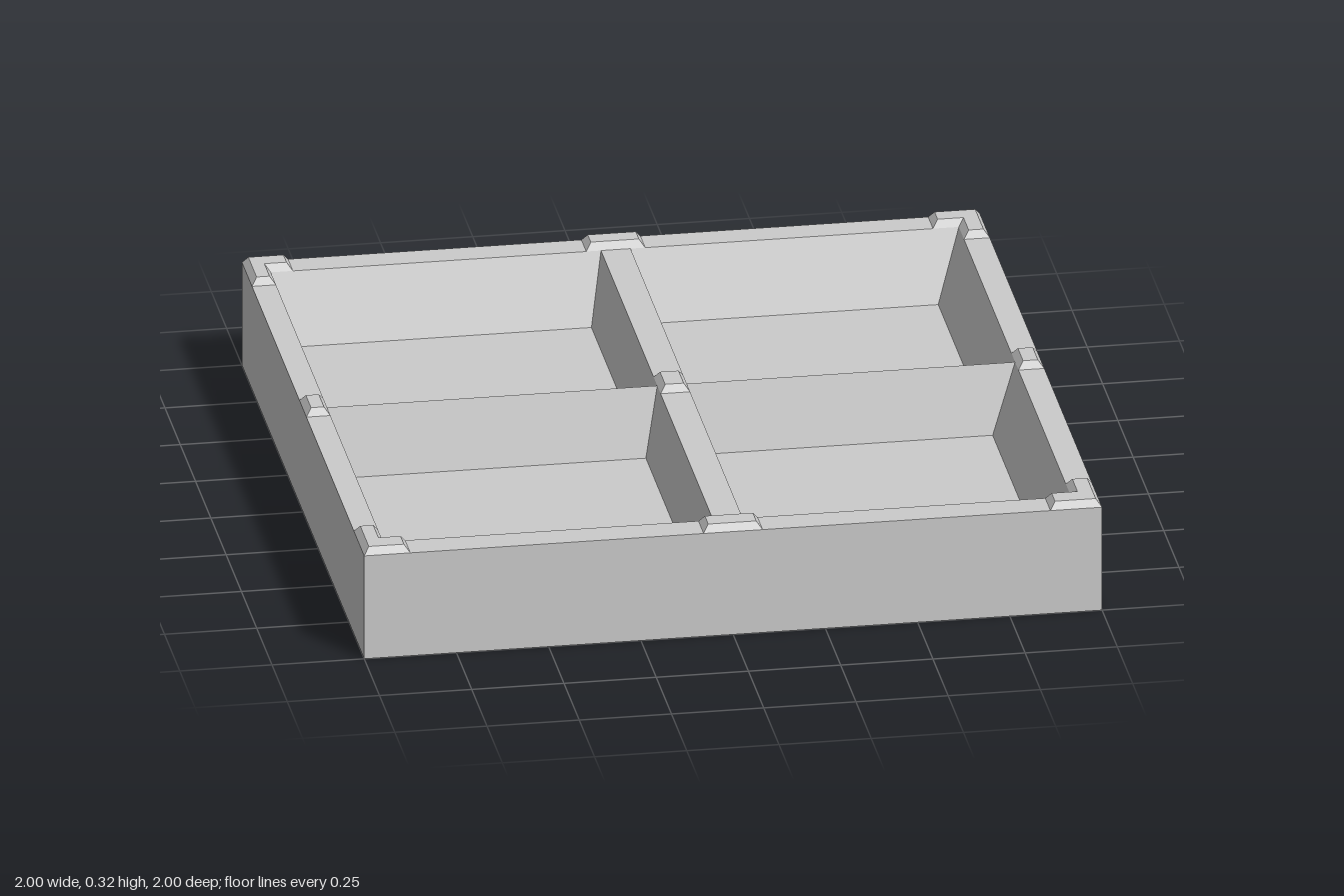
import * as THREE from 'three';

const RIM = 0.3, FLOOR = 0.115, LUG = 0.02;
const material = new THREE.MeshStandardMaterial({ color: 0xcccccc, flatShading: true });

// Pocket extents along each axis: [rim start, rim end, floor start, floor end]
const COLUMNS = [[-0.935, -0.04, -0.875, -0.08], [0.04, 0.93, 0.08, 0.86]];
const ROWS = [[-0.92, 0, -0.835, -0.06], [0, 0.915, 0.055, 0.83]];

// Corners of a level rectangle, counter-clockwise seen from above
const rect = (x0, x1, z0, z1, y) => [[x0, y, z1], [x1, y, z1], [x1, y, z0], [x0, y, z0]];

// Mesh made of four-cornered faces
function quadMesh(name, quads) {
  const points = quads.flatMap(([a, b, c, d]) => [a, b, c, a, c, d]).flat();
  const geometry = new THREE.BufferGeometry();
  geometry.setAttribute('position', new THREE.Float32BufferAttribute(points, 3));
  geometry.computeVertexNormals();
  const mesh = new THREE.Mesh(geometry, material);
  mesh.name = name;
  return mesh;
}

// Outward-facing side faces between a lower and an upper rectangle
const sides = (low, high) => low.map((p, i) => {
  const j = (i + 1) % 4;
  return [p, low[j], high[j], high[i]];
});

// Low bevelled lug standing on the rim, outlined in x and z
function lug(name, outline) {
  const shape = new THREE.Shape(outline.map(([x, z]) => new THREE.Vector2(x, -z)));
  const geometry = new THREE.ExtrudeGeometry(shape, {
    depth: 0.002, bevelThickness: LUG, bevelSize: 0.015, bevelOffset: -0.015, bevelSegments: 1,
  });
  geometry.rotateX(-Math.PI / 2).translate(0, RIM - 0.002, 0);
  const mesh = new THREE.Mesh(geometry, material);
  mesh.name = name;
  return mesh;
}

const box = (x0, x1, z0, z1) => [[x0, z0], [x1, z0], [x1, z1], [x0, z1]];

export function createModel() {
  const model = new THREE.Group();
  model.name = 'dividedTray';

  // Outer walls and underside
  const base = rect(-1, 1, -1, 1, 0);
  model.add(quadMesh('outerShell', [
    ...sides(base, rect(-1, 1, -1, 1, RIM)),
    [...base].reverse(),
  ]));

  // Flat rim and the flat top of the long divider
  const [left, right] = COLUMNS, [back, front] = ROWS;
  model.add(quadMesh('rim', [
    rect(-1, 1, -1, back[0], RIM),
    rect(-1, 1, front[1], 1, RIM),
    rect(-1, left[0], back[0], front[1], RIM),
    rect(left[1], right[0], back[0], front[1], RIM),
    rect(right[1], 1, back[0], front[1], RIM),
  ]));

  // Four tapered pockets; the pairs meet in a sharp ridge at z = 0
  for (const [x0, x1, fx0, fx1] of COLUMNS) {
    for (const [z0, z1, fz0, fz1] of ROWS) {
      const floor = rect(fx0, fx1, fz0, fz1, FLOOR);
      const top = rect(x0, x1, z0, z1, RIM);
      const walls = sides(floor, top).map((q) => q.reverse());
      model.add(quadMesh('pocket', [floor, ...walls]));
    }
  }

  // L-shaped corner lugs
  for (const [sx, column] of [[-1, left], [1, right]]) {
    const inX = sx < 0 ? column[0] : column[1];
    const endX = sx < 0 ? column[2] : column[3];
    for (const [sz, row] of [[-1, back], [1, front]]) {
      const inZ = sz < 0 ? row[0] : row[1];
      const endZ = sz < 0 ? row[2] : row[3];
      model.add(lug('cornerLug', [
        [sx, sz], [endX, sz], [endX, inZ], [inX, inZ], [inX, endZ], [sx, endZ],
      ]));
    }
  }

  // Lugs at the ends of the dividers and where they cross
  model.add(
    lug('backLug', box(-0.08, 0.08, -1, back[0])),
    lug('frontLug', box(-0.08, 0.08, front[1], 1)),
    lug('rightLug', box(-1, left[0], -0.06, 0.055)),
    lug('leftLug', box(right[1], 1, -0.06, 0.055)),
    lug('centreLug', box(left[1], right[0], -0.06, 0.055)),
  );
  return model;
}
